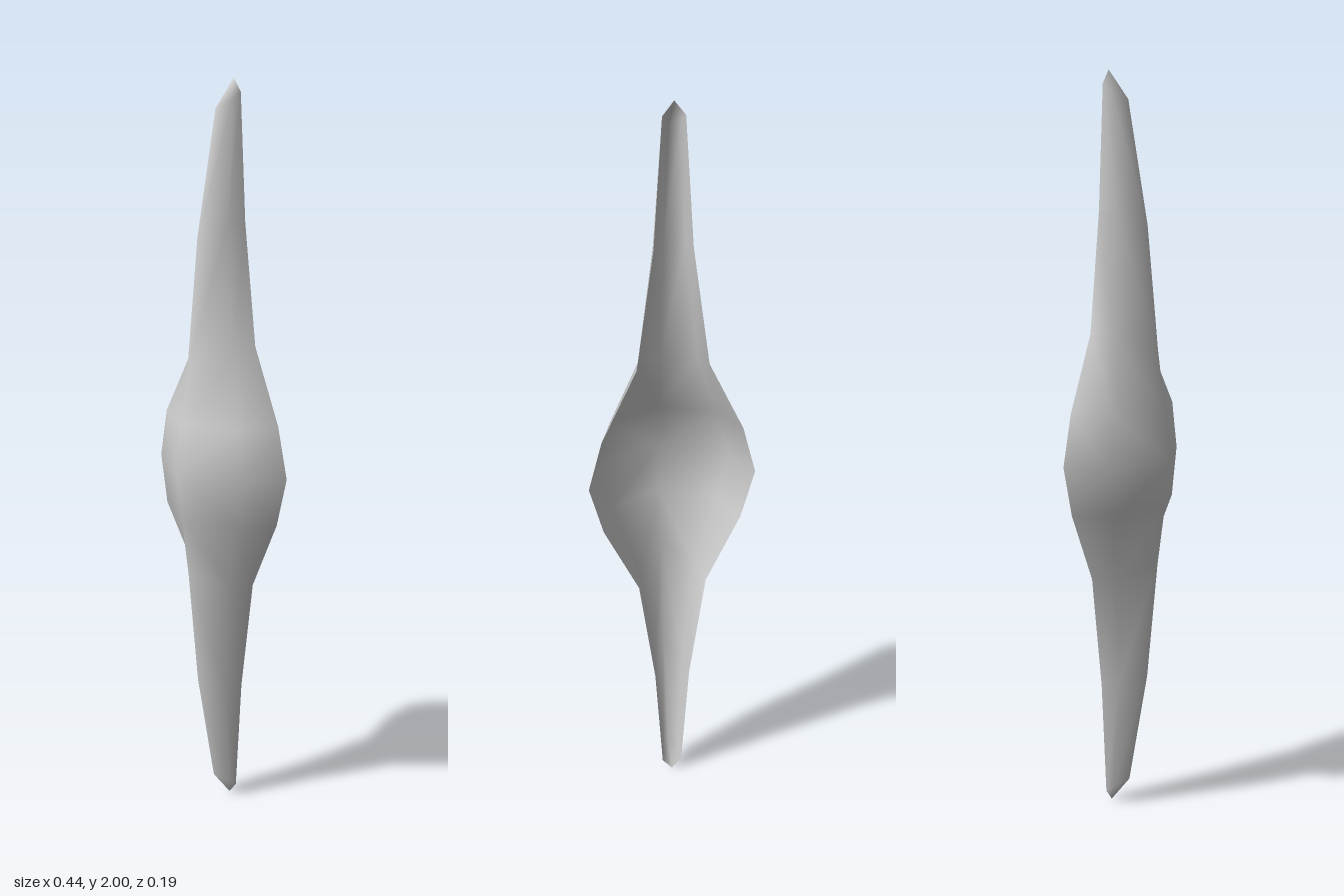
import * as THREE from 'three';
import { mergeVertices } from 'three/addons/utils/BufferGeometryUtils.js';

// Half cross-sections from the middle to the tip: rim, shoulder and ridge, each [x, height above middle, z]
const BACK = -0.095;
const sections = [
  { rim: [0.222, 0, BACK], shoulder: [0.175, 0, 0.01], ridge: [0, 0, 0.093] },
  { rim: [0.186, 0.135, BACK], shoulder: [0.145, 0.13, 0.013], ridge: [0, 0.13, 0.076] },
  { rim: [0.093, 0.33, BACK], shoulder: [0.077, 0.32, -0.03], ridge: [0, 0.29, 0.054] },
  { rim: [0.049, 0.645, BACK], shoulder: [0.04, 0.635, -0.045], ridge: [0, 0.61, 0.022] },
  { rim: [0.028, 0.965, BACK], shoulder: [0.022, 0.95, -0.075], ridge: [0, 0.925, -0.036] },
  { rim: [0, 1, BACK], shoulder: [0, 1, BACK], ridge: [0, 1, BACK] },
];

function shellGeometry() {
  const positions = [];
  const index = [];
  const last = sections.length - 1;

  // Rows run from the bottom tip to the top tip, mirrored about the middle
  for (let row = -last; row <= last; row++) {
    const { rim, shoulder, ridge } = sections[Math.abs(row)];
    const up = Math.sign(row);
    const add = ([x, y, z], side) => positions.push(side * x, 1 + up * y, z);
    add(rim, -1);
    add(shoulder, -1);
    add(ridge, 1);
    add(shoulder, 1);
    add(rim, 1);
  }

  // Diagonals mirror between left and right
  for (let r = 0; r < last * 2; r++) {
    for (let c = 0; c < 4; c++) {
      const a = r * 5 + c, b = a + 1, d = a + 5, e = a + 6;
      if ((c < 2) === (r < last)) index.push(a, b, e, a, e, d);
      else index.push(a, b, d, b, e, d);
    }
  }

  const geometry = new THREE.BufferGeometry();
  geometry.setAttribute('position', new THREE.Float32BufferAttribute(positions, 3));
  geometry.setIndex(index);
  const welded = mergeVertices(geometry);
  welded.computeVertexNormals();
  return welded;
}

export function createModel() {
  const group = new THREE.Group();
  group.name = 'spindleShell';

  // Thin open-backed shell with a central ridge
  const shell = new THREE.Mesh(
    shellGeometry(),
    new THREE.MeshStandardMaterial({ color: 0xcccccc, side: THREE.DoubleSide })
  );
  shell.name = 'shell';
  group.add(shell);
  return group;
}
